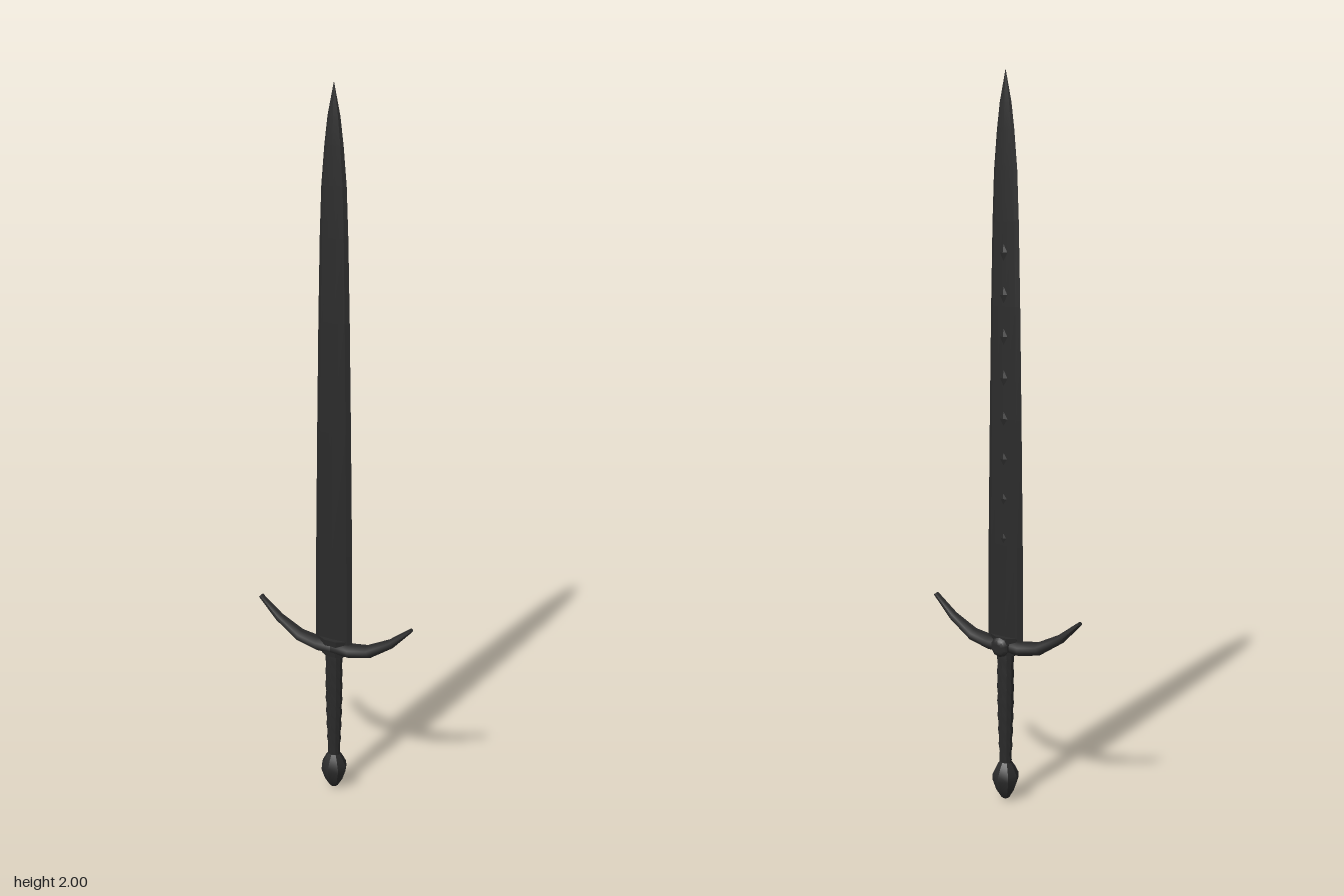
import * as THREE from 'three';
import { toCreasedNormals } from 'three/addons/utils/BufferGeometryUtils.js';

// Skin a list of equal-length rings (arrays of Vector3) and close both ends.
function loft(rings, crease = 0.5) {
  const n = rings[0].length, pos = [], index = [];
  rings.forEach(r => r.forEach(p => pos.push(p.x, p.y, p.z)));
  for (let i = 0; i < rings.length - 1; i++) {
    for (let j = 0; j < n; j++) {
      const a = i * n + j, b = i * n + (j + 1) % n;
      index.push(a, b, b + n, a, b + n, a + n);
    }
  }
  const last = (rings.length - 1) * n;
  for (let j = 1; j < n - 1; j++) {
    index.push(0, j + 1, j, last, last + j, last + j + 1);
  }
  const g = new THREE.BufferGeometry();
  g.setAttribute('position', new THREE.Float32BufferAttribute(pos, 3));
  g.setIndex(index);
  return toCreasedNormals(g, crease);
}

export function createModel() {
  const sword = new THREE.Group();
  sword.name = 'sword';
  const darkIron = new THREE.MeshStandardMaterial({ color: 0x2a2a2a });
  darkIron.name = 'dark iron';

  const add = (name, geometry, parent = sword) => {
    const m = new THREE.Mesh(geometry, darkIron);
    m.name = name;
    parent.add(m);
    return m;
  };
  const lathe = (points, sides) => toCreasedNormals(
    new THREE.LatheGeometry(points.map(p => new THREE.Vector2(...p)), sides), 0.6);

  // Blade: flat body with bevelled edges, tapering to a point
  const section = [[1, 0], [0.76, 0.8], [0, 1], [-0.76, 0.8], [-1, 0], [-0.76, -0.8], [0, -1], [0.76, -0.8]];
  const stations = [ // height, half width, half thickness
    [0.47, 0.058, 0.011], [0.75, 0.056, 0.011], [1.1, 0.051, 0.01], [1.4, 0.046, 0.009],
    [1.62, 0.041, 0.008], [1.75, 0.036, 0.008], [1.85, 0.027, 0.007], [1.92, 0.018, 0.006], [2, 0.0005, 0.0005],
  ];
  add('blade', loft(stations.map(([y, w, t]) =>
    section.map(([u, v]) => new THREE.Vector3(u * w, y, -v * t))), 0.25));

  // Small raised marks down the back of the blade
  const marks = new THREE.Group();
  marks.name = 'bladeMarks';
  sword.add(marks);
  for (let i = 0; i < 8; i++) {
    const mark = add('bladeMark', new THREE.OctahedronGeometry(1), marks);
    mark.scale.set(0.012, 0.022, 0.004);
    mark.position.set(0, 0.77 + i * 0.11, -0.0095);
  }

  // Crossguard: central block and two upswept arms
  const collar = new THREE.CylinderGeometry(0.046, 0.036, 0.052, 8);
  collar.rotateY(Math.PI / 8);
  collar.scale(1, 1, 0.58);
  collar.translate(0, 0.463, 0);
  add('guardBlock', toCreasedNormals(collar, 0.4));

  const path = [ // x, y, half height, half depth
    [0, 0.463, 0.02, 0.024], [0.05, 0.46, 0.019, 0.021], [0.11, 0.472, 0.017, 0.018],
    [0.178, 0.513, 0.012, 0.013], [0.238, 0.568, 0.005, 0.009],
  ];
  const armRings = path.map(([x, y, h, d], i) => {
    const p = path[Math.max(0, i - 1)], q = path[Math.min(path.length - 1, i + 1)];
    const t = new THREE.Vector2(q[0] - p[0], q[1] - p[1]).normalize();
    return Array.from({ length: 8 }, (_, j) => {
      const a = (j + 0.5) * Math.PI / 4;
      const u = Math.cos(a) * h * 1.08, v = Math.sin(a) * d * 1.08;
      return new THREE.Vector3(x - t.y * u, y + t.x * u, v);
    });
  });
  const armGeometry = loft(armRings, 0.9);
  add('leftGuardArm', armGeometry);
  add('rightGuardArm', armGeometry).rotation.y = Math.PI;

  // Domed stud on the back of the guard
  const stud = add('guardStud', lathe(
    [[0.026, 0], [0.028, 0.012], [0.021, 0.02], [0.01, 0.023], [0, 0.024]], 10));
  stud.rotation.x = -Math.PI / 2;
  stud.position.set(0, 0.463, -0.019);

  // Grip: slim swelling handle with bound ridges
  const grip = [];
  for (let i = 0; i <= 16; i++) {
    const k = i / 16;
    const r = 0.018 + 0.008 * Math.sin(Math.min(1, k * 1.1) * Math.PI * 0.6);
    grip.push([r - (i % 2 ? 0 : 0.0025), 0.1 + k * 0.345]);
  }
  add('grip', lathe(grip, 10)).scale.z = 0.8;

  // Pommel: faceted teardrop
  add('pommel', lathe([[0, 0], [0.012, 0.007], [0.027, 0.032], [0.038, 0.064],
    [0.037, 0.08], [0.026, 0.102], [0.017, 0.115], [0, 0.117]], 8));

  return sword;
}
